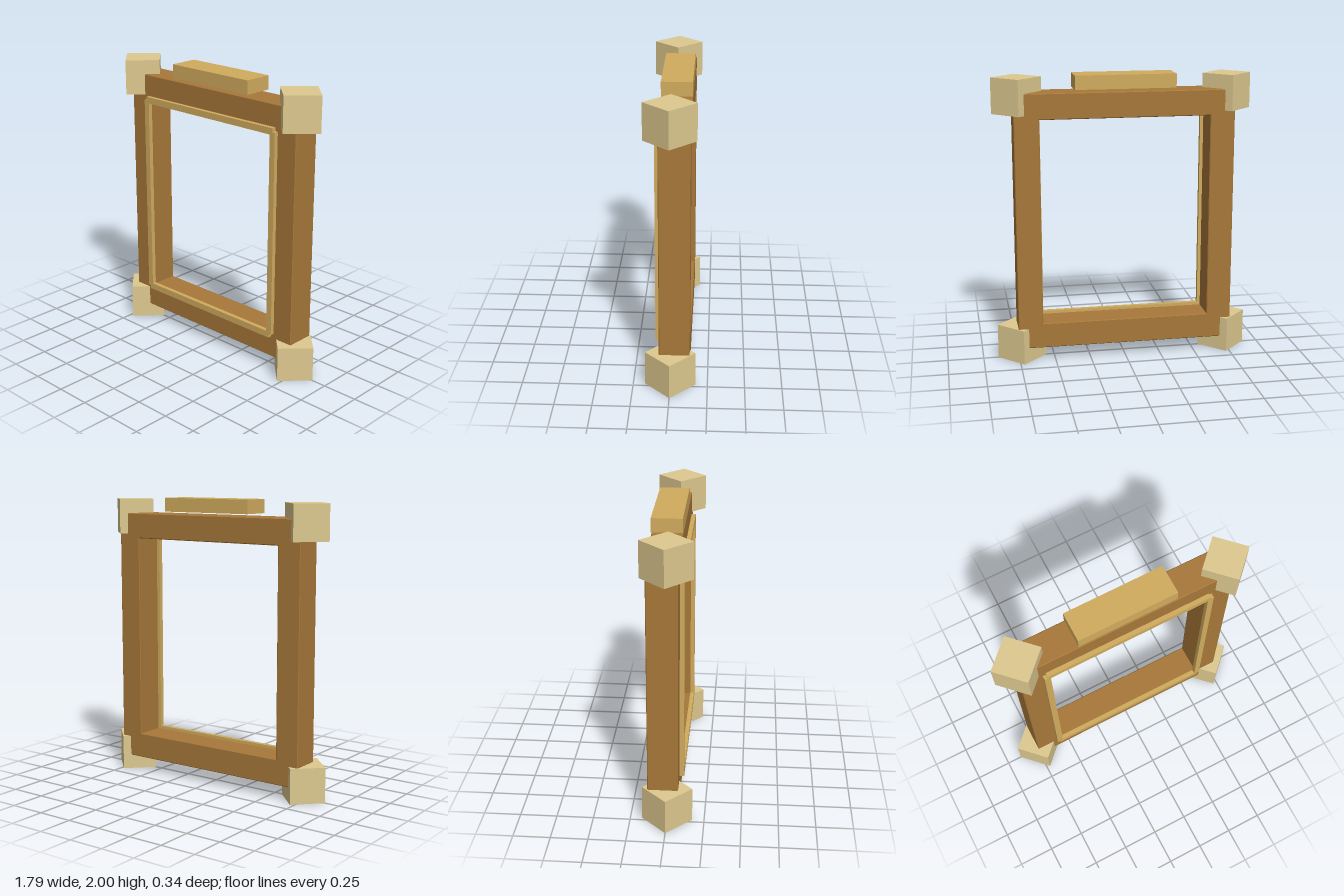
import * as THREE from 'three';

const frameWood = new THREE.MeshStandardMaterial({ color: 0xa77839 });
frameWood.name = 'brown wood';
const trimGold = new THREE.MeshStandardMaterial({ color: 0xd1ac5e });
trimGold.name = 'golden trim';
const blockCream = new THREE.MeshStandardMaterial({ color: 0xdec98f });
blockCream.name = 'cream blocks';

const BACK = -0.13, FRONT = 0.075; // depth range of the frame

function box(name, size, pos, material) {
  const mesh = new THREE.Mesh(new THREE.BoxGeometry(...size), material);
  mesh.position.set(...pos);
  mesh.name = name;
  return mesh;
}

// Closed rectangle; clockwise order is used for holes
function rectangle(PathType, x, y0, y1) {
  const p = new PathType();
  p.moveTo(-x, y0);
  p.lineTo(x, y0);
  p.lineTo(x, y1);
  p.lineTo(-x, y1);
  p.closePath();
  return p;
}

export function createModel() {
  const model = new THREE.Group();
  model.name = 'frame';

  // Main frame with a fine chamfer along its edges
  const bevel = 0.005;
  const outline = rectangle(THREE.Shape, 0.757, 0.102, 1.887);
  outline.holes.push(rectangle(THREE.Path, 0.585, 0.28, 1.71));
  const frameGeometry = new THREE.ExtrudeGeometry(outline, {
    depth: FRONT - BACK - 2 * bevel,
    bevelEnabled: true,
    bevelThickness: bevel,
    bevelSize: bevel,
    bevelOffset: -bevel,
    bevelSegments: 1,
  });
  frameGeometry.translate(0, 0, BACK + bevel);
  const frame = new THREE.Mesh(frameGeometry, frameWood);
  frame.name = 'mainFrame';
  model.add(frame);

  // Raised trim strips around the opening, leaving small notches at the corners
  const trim = new THREE.Group();
  trim.name = 'innerTrim';
  for (const side of [-1, 1]) {
    const end = side > 0 ? 'left' : 'right';
    trim.add(box(end + 'Trim', [0.042, 1.43, 0.03], [side * 0.585, 0.995, 0.09], trimGold));
    const level = side > 0 ? 'top' : 'bottom';
    trim.add(box(level + 'Trim', [1.17, 0.045, 0.03], [0, 0.995 + side * 0.718, 0.09], trimGold));
  }
  model.add(trim);

  // Corner blocks turned 45 degrees about the vertical
  for (const [level, y] of [['bottom', 0.1225], ['top', 1.8625]]) {
    for (const side of [-1, 1]) {
      const name = level + (side > 0 ? 'Left' : 'Right') + 'Block';
      const block = box(name, [0.24, 0.245, 0.24], [side * 0.725, y, 0], blockCream);
      block.rotation.y = Math.PI / 4;
      model.add(block);
    }
  }

  // Plate hovering just above the top rail
  model.add(box('topPlate', [0.69, 0.095, FRONT - BACK], [0, 1.9525, (FRONT + BACK) / 2], trimGold));

  return model;
}
